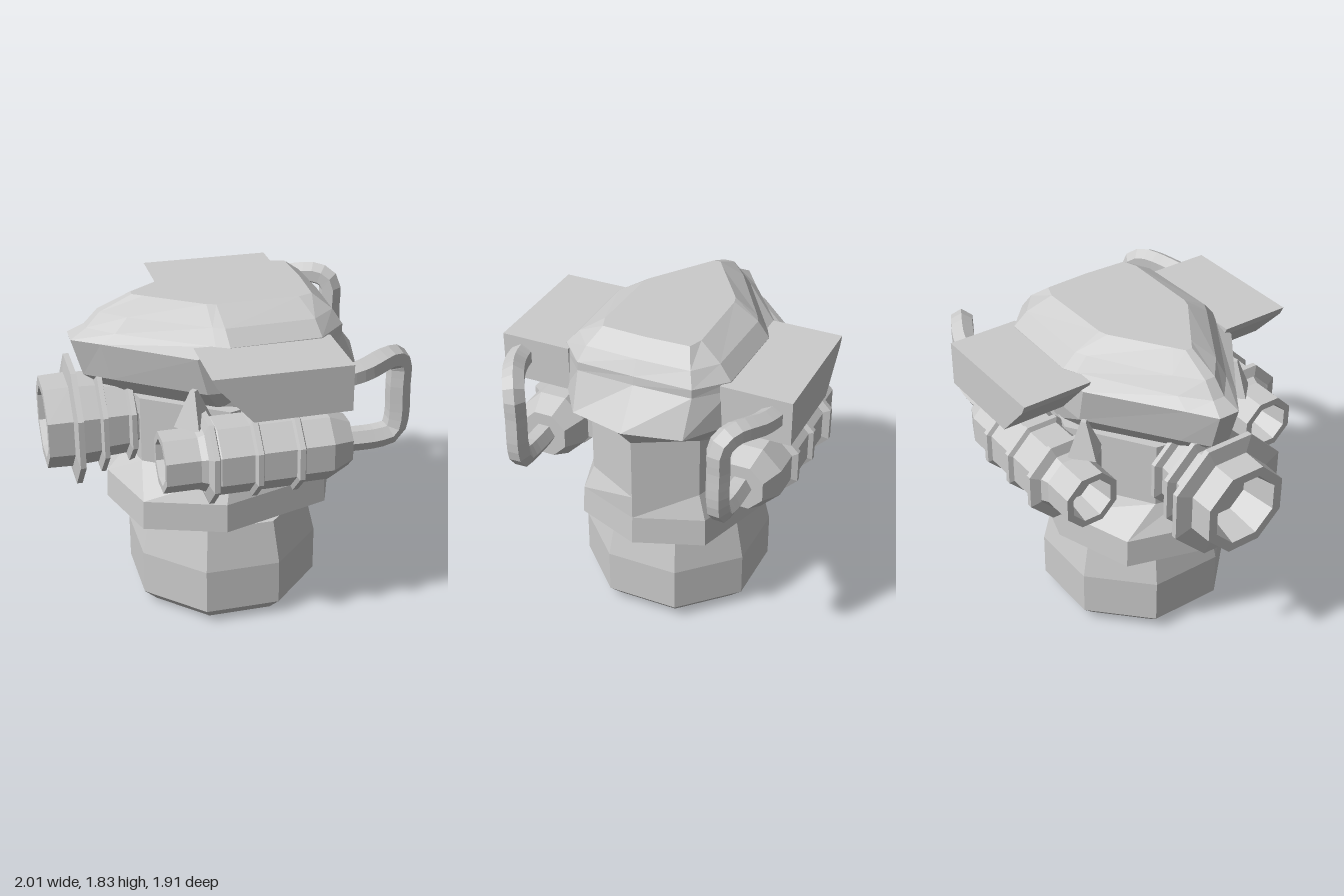
import * as THREE from 'three';

const mat = new THREE.MeshStandardMaterial({ color: 0xcccccc, flatShading: true, side: THREE.DoubleSide });

function add(parent, name, geometry, x = 0, y = 0, z = 0) {
  const mesh = new THREE.Mesh(geometry, mat);
  mesh.name = name;
  mesh.position.set(x, y, z);
  parent.add(mesh);
  return mesh;
}

// Skins a stack of rings, open below and capped above;
// each ring is [y, half outline from front (+z) to back], mirrored in x
function loft(rings) {
  const loops = rings.map(([y, half]) => {
    const other = half.filter((p) => p[0] > 0).reverse().map(([x, z]) => [-x, z]);
    return [...half, ...other].map(([x, z]) => [x, y, z]);
  });
  const pos = [];
  const tri = (...pts) => pts.forEach((p) => pos.push(...p));
  const n = loops[0].length;
  for (let i = 0; i < loops.length - 1; i++) {
    for (let j = 0; j < n; j++) {
      const k = (j + 1) % n;
      const [a, b, c, d] = [loops[i][j], loops[i][k], loops[i + 1][k], loops[i + 1][j]];
      tri(a, b, c);
      tri(a, c, d);
    }
  }
  const top = loops[loops.length - 1];
  for (let j = 1; j < n - 1; j++) tri(top[0], top[j], top[j + 1]);
  const g = new THREE.BufferGeometry();
  g.setAttribute('position', new THREE.Float32BufferAttribute(pos, 3));
  g.computeVertexNormals();
  return g;
}

// Octagonal turned part with flat top; profile is [radius, position]
function octagon(profile) {
  return new THREE.LatheGeometry(profile.map(([r, t]) => new THREE.Vector2(r, t)), 8, Math.PI / 8);
}

// Raised collar around a barrel, centred at t
function collar(inner, outer, t, w) {
  return octagon([[inner, t - w], [outer, t - w * 0.45], [outer, t + w * 0.45], [inner, t + w]])
    .rotateX(Math.PI / 2);
}

export function createModel() {
  const model = new THREE.Group();
  model.name = 'turret';
  const turret = new THREE.Group();
  turret.name = 'turnedAssembly';
  turret.rotation.y = -0.896;
  turret.position.set(-0.083, 0, 0.074);
  model.add(turret);

  // Foot and neck
  add(turret, 'base', octagon([[0, 0], [0.465, 0], [0.547, 0.08], [0.547, 0.34], [0.49, 0.585], [0, 0.585]]), 0.02, 0, 0);
  add(turret, 'neck', new THREE.CylinderGeometry(0.2, 0.2, 0.2, 8), 0.02, 0.65, 0);

  // Body with flared skirt, ridged front and back
  const skirt = [[0, 0.66], [0.416, 0.535], [0.57, 0.1], [0.38, -0.515], [0, -0.66]];
  const waist = [[0, 0.53], [0.2, 0.49], [0.49, 0.06], [0.325, -0.475], [0, -0.65]];
  add(turret, 'body', loft([
    [0.615, skirt],
    [0.78, skirt.map(([x, z]) => [x * 0.985, z * 0.985])],
    [0.92, waist],
    [1.3, waist],
  ]));

  // Head: tall visor wall, undercut, sloping rim and stepped crown
  add(turret, 'head', loft([
    [1.28, [[0.04, 0.58], [0.13, 0.47], [0.4, 0.1], [0.45, -0.05], [0.42, -0.4], [0.325, -0.475], [0, -0.65]]],
    [1.41, [[0.055, 0.765], [0.155, 0.63], [0.475, 0.18], [0.48, -0.05], [0.48, -0.46], [0.32, -0.69], [0, -0.765]]],
    [1.62, [[0.06, 0.825], [0.16, 0.68], [0.485, 0.235], [0.49, 0.05], [0.485, -0.44], [0.33, -0.6], [0, -0.61]]],
    [1.67, [[0.035, 0.735], [0.156, 0.6], [0.455, 0.13], [0.49, 0.06], [0.48, -0.44], [0.33, -0.6], [0, -0.605]]],
    [1.75, [[0.03, 0.66], [0.14, 0.53], [0.39, 0.13], [0.42, 0.07], [0.41, -0.42], [0.3, -0.55], [0, -0.56]]],
    [1.83, [[0.02, 0.48], [0.06, 0.42], [0.26, 0.13], [0.275, 0.08], [0.28, -0.37], [0.25, -0.45], [0, -0.46]]],
  ]));

  // Main gun on the centre line
  const mainGun = new THREE.Group();
  mainGun.name = 'mainGun';
  mainGun.position.set(0, 1.125, 0);
  turret.add(mainGun);
  add(mainGun, 'mainBarrel', octagon([
    [0, 0.25], [0.18, 0.25], [0.2, 0.5], [0.22, 0.52], [0.23, 0.67], [0.25, 0.7], [0.26, 0.85],
    [0.255, 0.995], [0.2, 0.995], [0.16, 0.8], [0, 0.8],
  ]).rotateX(Math.PI / 2));
  [[0.36, 0.83, 0.035], [0.31, 0.69, 0.03], [0.27, 0.53, 0.03]].forEach(([r, t, w]) =>
    add(mainGun, 'mainBarrelCollar', collar(0.19, r, t, w)));

  // Slanted-front wing profile: position along the turret, then height
  const wingShape = new THREE.Shape([[0.245, 1.67], [0.22, 1.62], [0.03, 1.41], [-0.495, 1.41], [-0.495, 1.665]]
    .map(([z, y]) => new THREE.Vector2(z, y)));
  const wingGeo = new THREE.ExtrudeGeometry(wingShape, { depth: 0.4, bevelEnabled: false }).rotateY(-Math.PI / 2);

  for (const s of [1, -1]) {
    const side = s > 0 ? 'left' : 'right';

    // Side wing under the head rim
    add(turret, side + 'Wing', wingGeo, s > 0 ? 0.842 : -0.442, 0, 0);

    // Side gun
    const gun = new THREE.Group();
    gun.name = side + 'Gun';
    gun.position.set(s * 0.59, 1.11, 0);
    turret.add(gun);
    add(gun, side + 'Barrel', octagon([
      [0, -0.55], [0.14, -0.55], [0.2, -0.43], [0.2, -0.25], [0.21, -0.23], [0.21, 0], [0.21, 0.18],
      [0.165, 0.28], [0.165, 0.465], [0.125, 0.465], [0.1, 0.3], [0, 0.3],
    ]).rotateX(Math.PI / 2));
    [[0.25, 0.215], [0.238, -0.02], [0.235, -0.245]].forEach(([r, t]) =>
      add(gun, side + 'BarrelCollar', collar(0.19, r, t, 0.032)));

    // Brackets holding the gun to the body and wing
    add(turret, side + 'GunStrut', new THREE.BoxGeometry(0.28, 0.14, 0.16), s * 0.47, 1.11, -0.3);
    add(turret, side + 'WingBracket', new THREE.CylinderGeometry(0.02, 0.11, 0.2, 4), s * 0.5, 1.36, 0.26);

    // Pipe from the wing's back round to the gun's tail
    const path = new THREE.CatmullRomCurve3([
      [0.745, 1.55, -0.42], [0.71, 1.565, -0.59], [0.625, 1.585, -0.77], [0.59, 1.54, -0.83],
      [0.585, 1.4, -0.835], [0.585, 1.2, -0.835], [0.585, 1.13, -0.81], [0.59, 1.11, -0.73], [0.59, 1.11, -0.5],
    ].map(([x, y, z]) => new THREE.Vector3(s * x, y, z)));
    add(turret, side + 'Pipe', new THREE.TubeGeometry(path, 24, 0.067, 6));
  }
  return model;
}
